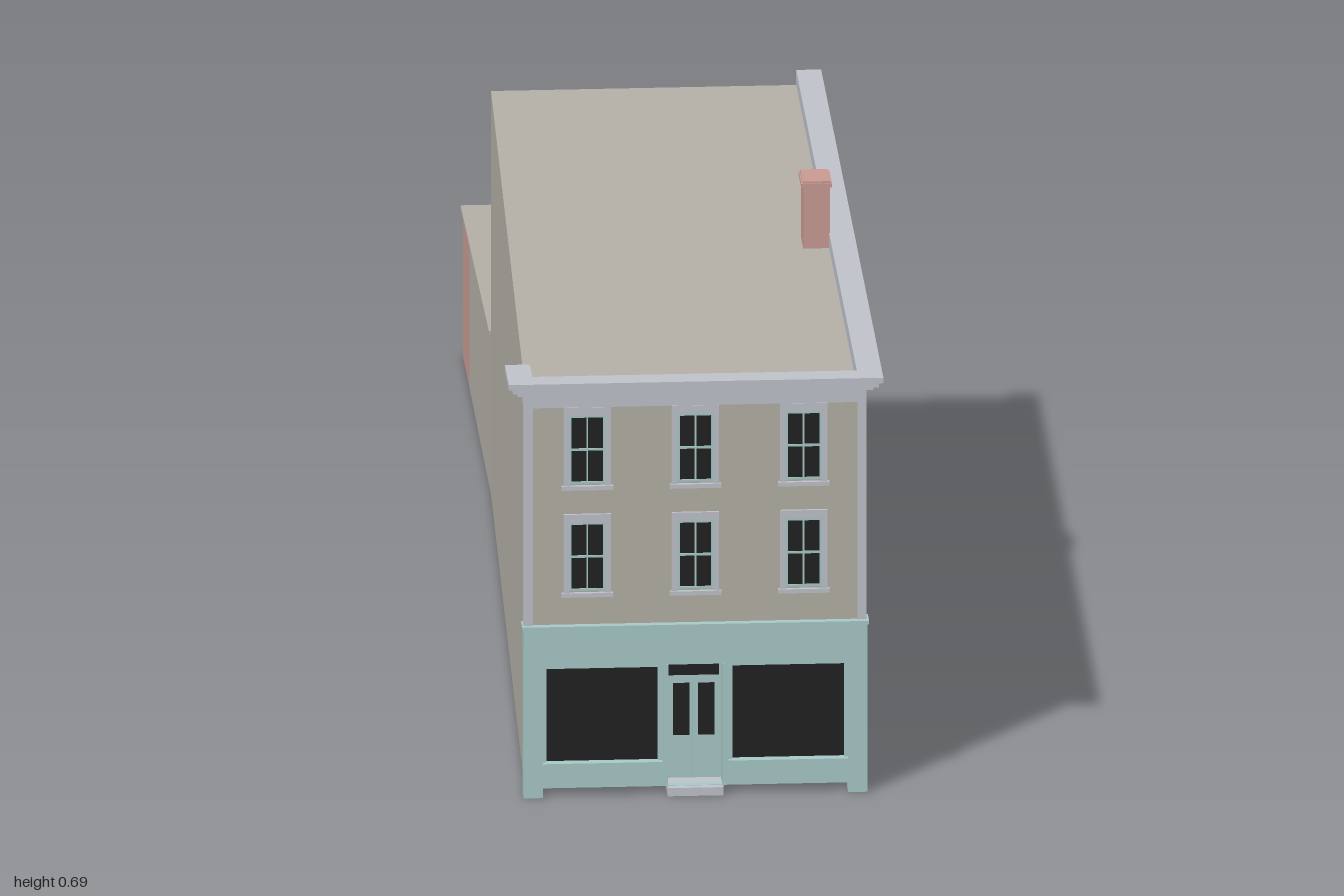
import * as THREE from 'three';

const mat = (name, color) => {
  const m = new THREE.MeshStandardMaterial({ color, side: THREE.DoubleSide });
  m.name = name;
  return m;
};

export function createModel() {
  const root = new THREE.Group();
  root.name = 'shopBuilding';
  const stone = mat('warm grey wall', 0xb7b3a9);
  const trim = mat('pale grey trim', 0xc2c6cd);
  const teal = mat('pale teal paint', 0xaaccca);
  const brick = mat('pink brick', 0xcd9d95);
  const glass = mat('dark glass', 0x212121);

  const add = (parent, name, geo, m) => {
    const mesh = new THREE.Mesh(geo, m);
    mesh.name = name;
    parent.add(mesh);
    return mesh;
  };
  // Box given by its extents
  const box = (parent, name, m, x0, x1, y0, y1, z0, z1) => {
    const g = new THREE.BoxGeometry(x1 - x0, y1 - y0, z1 - z0);
    g.translate((x0 + x1) / 2, (y0 + y1) / 2, (z0 + z1) / 2);
    return add(parent, name, g, m);
  };
  // Single four-cornered face, corners anticlockwise from its front
  const quad = (name, m, a, b, c, d) => {
    const g = new THREE.BufferGeometry();
    g.setAttribute('position', new THREE.Float32BufferAttribute([...a, ...b, ...c, ...d], 3));
    g.setIndex([0, 1, 2, 0, 2, 3]);
    g.computeVertexNormals();
    return add(root, name, g, m);
  };
  // Upright wall from a to b in plan, with its top height at each end
  const wall = (name, m, [ax, az], [bx, bz], y0, ya, yb = ya) =>
    quad(name, m, [ax, y0, az], [bx, y0, bz], [bx, yb, bz], [ax, ya, az]);
  // Plan outline of [x, z] points raised from y0 to y1
  const slab = (name, m, pts, y0, y1) => {
    const s = new THREE.Shape(pts.map(([x, z]) => new THREE.Vector2(x, -z)));
    const g = new THREE.ExtrudeGeometry(s, { depth: y1 - y0, bevelEnabled: false });
    g.rotateX(-Math.PI / 2);
    g.translate(0, y0, 0);
    return add(root, name, g, m);
  };
  const rect = (path, x0, x1, y0, y1) =>
    path.moveTo(x0, y0).lineTo(x1, y0).lineTo(x1, y1).lineTo(x0, y1).closePath();

  // Main block: open underneath, right-hand wall tapering toward the back
  const X = 0.236, F = 0.975, B = -0.37, R = 0.592;
  const fl = [-0.237, F], fr = [X, F], br = [X, B], bl = [-0.2, B];
  wall('frontWall', stone, fl, fr, 0.25, R);
  wall('leftWall', stone, fr, br, 0, R);
  wall('backWall', stone, br, bl, 0, R);
  wall('rightWall', stone, bl, fl, 0, R);
  quad('mainRoof', stone, [fl[0], R, F], [X, R, F], [X, R, B], [bl[0], R, B]);

  // Frieze and stepped cornice on the front and left, with a short right return
  [['frieze', 0.003, 0.572, 0.592], ['corniceBed', 0.012, 0.592, 0.598],
    ['corniceStep', 0.019, 0.598, 0.606], ['corniceCap', 0.025, 0.606, 0.614]]
    .forEach(([name, o, y0, y1]) => slab(name, trim, [
      [-0.237 - o, 0.91], [-0.237 - o, F + o], [X + o, F + o], [X + o, B],
      [0.226, B], [0.226, 0.965], [-0.227, 0.965], [-0.227, 0.91]], y0, y1));

  // Corner strips and base course
  box(root, 'cornerStrip', trim, 0.226, 0.239, 0.252, 0.572, 0.965, 0.978);
  box(root, 'cornerStrip', trim, -0.24, -0.227, 0.252, 0.572, 0.965, 0.978);
  box(root, 'rearCornerStrip', trim, 0.23, 0.238, 0.03, 0.572, B - 0.001, B + 0.008);
  box(root, 'baseCourse', trim, 0.232, 0.241, 0, 0.03, B - 0.002, 0.965);

  // Sash window facing +z; y is the foot of the sash
  const addWindow = (x, y, z, turn, h = 0.1) => {
    const w = new THREE.Group();
    w.name = 'sashWindow';
    box(w, 'casingHead', trim, -0.033, 0.033, h, h + 0.012, 0, 0.004);
    [-1, 1].forEach((s) => {
      box(w, 'casingSide', trim, s * 0.029 - 0.004, s * 0.029 + 0.004, -0.004, h, 0, 0.004);
      box(w, 'sashStile', teal, s * 0.0235 - 0.0015, s * 0.0235 + 0.0015, 0, h, 0, 0.003);
    });
    box(w, 'sill', trim, -0.036, 0.036, -0.009, -0.003, 0, 0.006);
    box(w, 'glazing', glass, -0.025, 0.025, 0, h, 0, 0.0015);
    [0.0015, h / 2, h - 0.0015].forEach((ry) =>
      box(w, 'sashRail', teal, -0.025, 0.025, ry - 0.0017, ry + 0.0017, 0, 0.003));
    box(w, 'muntin', teal, -0.0012, 0.0012, 0, h, 0, 0.0025);
    w.position.set(x, y, z);
    w.rotation.y = turn;
    root.add(w);
  };
  [0.303, 0.46].forEach((y) => {
    [-0.151, 0, 0.151].forEach((x) => addWindow(x, y, F, 0));
    [0.79, 0.525, 0.25, -0.02].forEach((z) => addWindow(X, y, z, Math.PI / 2));
    [0.116, -0.08].forEach((x) => addWindow(x, y, B, Math.PI));
  });
  [0.79, 0.525].forEach((z) => addWindow(X, 0.075, z, Math.PI / 2, 0.105));

  // Panelled plain door facing +z with casing and step
  const addDoor = (x, y, z, turn, h, edge) => {
    const d = new THREE.Group();
    d.name = 'plainDoor';
    box(d, 'doorLeaf', teal, -0.028, 0.028, 0, h, 0, 0.003);
    [-1, 1].forEach((s) => {
      box(d, 'doorCasing', edge, s * 0.032 - 0.005, s * 0.032 + 0.005, 0, h, 0, 0.005);
      [[0.1, 0.42], [0.5, 0.92]].forEach(([a, b]) =>
        box(d, 'doorPanel', teal, s * 0.012 - 0.008, s * 0.012 + 0.008, h * a, h * b, 0, 0.0045));
    });
    box(d, 'doorHead', edge, -0.037, 0.037, h, h + 0.01, 0, 0.005);
    box(d, 'doorStep', trim, -0.037, 0.037, -0.012, 0, 0, 0.014);
    d.position.set(x, y, z);
    d.rotation.y = turn;
    root.add(d);
  };
  addDoor(X, 0.03, 0.206, Math.PI / 2, 0.122, trim);
  addDoor(-0.097, 0.012, -0.986, Math.PI, 0.138, teal);

  // Shopfront panel with openings for the display windows and entrance
  const front = new THREE.Shape();
  rect(front, -0.215, 0.215, 0.012, 0.225);
  [[-0.208, -0.052, 0.05, 0.187], [0.052, 0.208, 0.05, 0.187], [-0.038, 0.038, 0.0125, 0.19]]
    .forEach((r) => { const p = new THREE.Path(); rect(p, ...r); front.holes.push(p); });
  const panel = new THREE.ExtrudeGeometry(front, { depth: 0.012, bevelEnabled: false });
  panel.translate(0, 0, 0.96);
  add(root, 'shopfrontPanel', panel, teal);
  box(root, 'shopFascia', teal, -0.24, 0.24, 0.222, 0.249, 0.955, 0.981);
  box(root, 'fasciaMoulding', teal, -0.242, 0.242, 0.248, 0.253, 0.955, 0.986);
  [-1, 1].forEach((s) => {
    const c = s * 0.2265, m = s * 0.13, j = s * 0.0395;
    box(root, 'shopPilaster', teal, c - 0.0135, c + 0.0135, 0, 0.222, 0.955, 0.979);
    box(root, 'displayGlass', glass, m - 0.079, m + 0.079, 0.049, 0.188, 0.963, 0.966);
    box(root, 'displaySill', teal, m - 0.084, m + 0.084, 0.045, 0.05, 0.962, 0.98);
    box(root, 'entranceJamb', teal, j - 0.0015, j + 0.0015, 0.012, 0.19, 0.93, 0.974);
  });

  // Recessed double entrance door, transom and step
  box(root, 'entranceDoor', teal, -0.039, 0.039, 0.012, 0.192, 0.93, 0.936);
  box(root, 'transomGlass', glass, -0.035, 0.035, 0.163, 0.188, 0.935, 0.938);
  [-1, 1].forEach((s) => box(root, 'doorGlass', glass,
    s * 0.0175 - 0.0115, s * 0.0175 + 0.0115, 0.075, 0.151, 0.935, 0.938));
  box(root, 'doorMeetingStile', teal, -0.0012, 0.0012, 0.013, 0.16, 0.935, 0.939);
  box(root, 'entranceCeiling', teal, -0.039, 0.039, 0.189, 0.192, 0.93, 0.965);
  box(root, 'entranceStep', trim, -0.039, 0.039, 0, 0.012, 0.93, 0.982);

  // Chimney
  box(root, 'chimneyStack', brick, 0.19, 0.227, 0.59, 0.682, 0.305, 0.355);
  box(root, 'chimneyCap', brick, 0.187, 0.23, 0.682, 0.688, 0.301, 0.359);
  box(root, 'chimneyTop', brick, 0.189, 0.228, 0.688, 0.691, 0.303, 0.357);

  // Rear extension with a sloping roof and a brick end
  const A = 0.14, L = -0.2, E = -0.986, M = -0.84;
  const top = (z) => 0.235 + (z - B) * 0.034;
  wall('extensionLeftWall', stone, [A, B], [A, M], 0, top(B), top(M));
  wall('extensionRightWall', stone, [L, M], [L, B], 0, top(M), top(B));
  wall('brickLeftWall', brick, [A, M], [A, E], 0, top(M), top(E));
  wall('brickRightWall', brick, [L, E], [L, M], 0, top(E), top(M));
  wall('brickBackWall', brick, [A, E], [L, E], 0, top(E));
  box(root, 'extensionStrip', trim, A - 0.003, A + 0.002, 0, top(M), M, M + 0.008);
  box(root, 'extensionStrip', trim, A - 0.003, A + 0.002, 0, top(B) - 0.002, B - 0.012, B);
  const roofLen = B - E + 0.006;
  const roof = new THREE.BoxGeometry(A - L + 0.006, 0.005, roofLen);
  const p = roof.attributes.position;
  for (let i = 0; i < p.count; i++) {
    const z = p.getZ(i) + B - roofLen / 2;
    p.setXYZ(i, p.getX(i) + (A + L) / 2, p.getY(i) + top(z) + 0.0025, z);
  }
  roof.computeVertexNormals();
  add(root, 'extensionRoof', roof, stone);

  return root;
}
